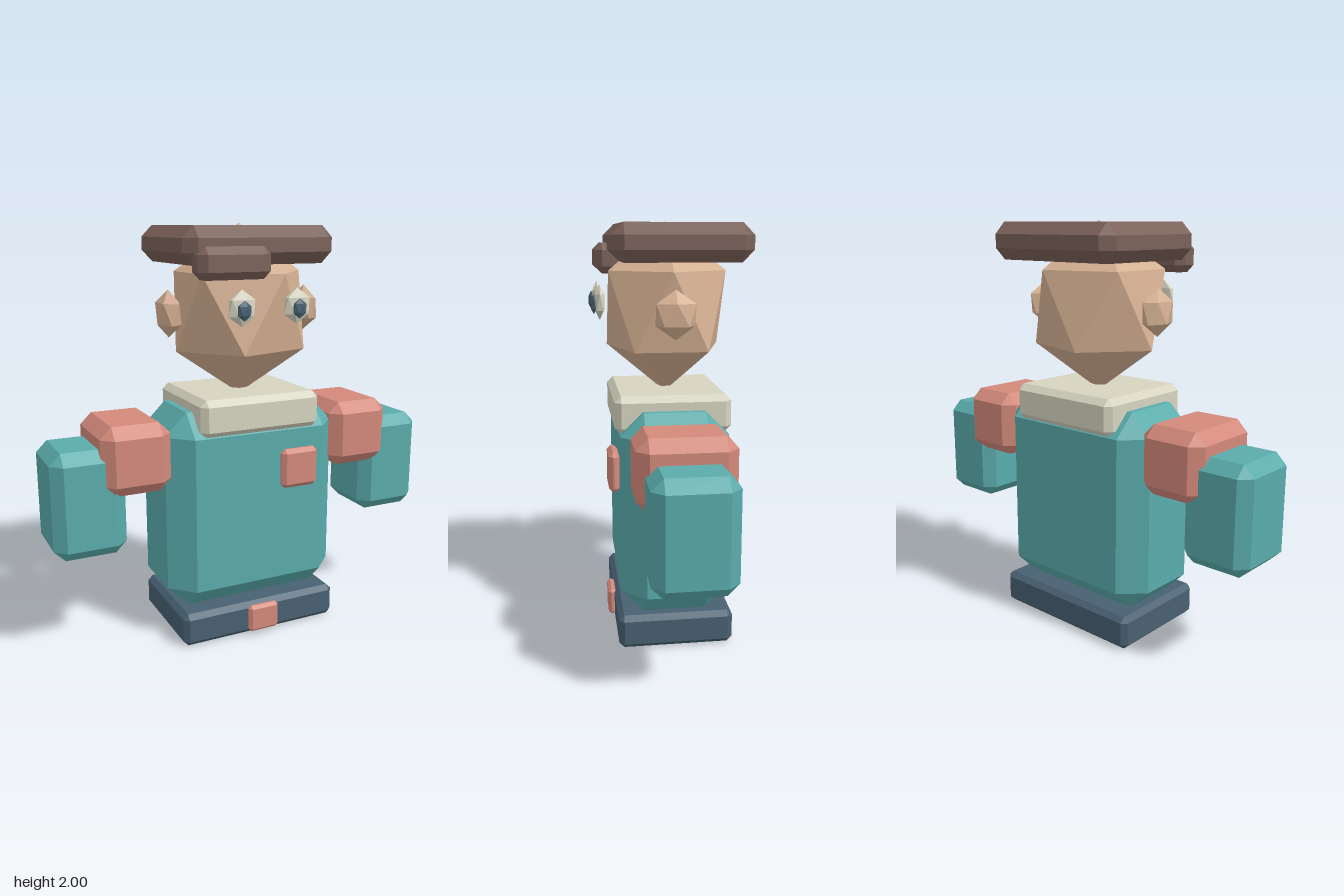
import * as THREE from 'three';
import { ConvexGeometry } from 'three/addons/geometries/ConvexGeometry.js';

function mat(name, color) {
  const m = new THREE.MeshStandardMaterial({ color, flatShading: true });
  m.name = name;
  return m;
}

// Box between two corners, with every edge and corner cut off by c
function chamferBox([x0, y0, z0], [x1, y1, z1], c) {
  const h = new THREE.Vector3(x1 - x0, y1 - y0, z1 - z0).multiplyScalar(0.5);
  const points = [];
  for (const sx of [-1, 1]) for (const sy of [-1, 1]) for (const sz of [-1, 1]) {
    points.push(
      new THREE.Vector3(sx * h.x, sy * (h.y - c), sz * (h.z - c)),
      new THREE.Vector3(sx * (h.x - c), sy * h.y, sz * (h.z - c)),
      new THREE.Vector3(sx * (h.x - c), sy * (h.y - c), sz * h.z));
  }
  return new ConvexGeometry(points).translate((x0 + x1) / 2, (y0 + y1) / 2, (z0 + z1) / 2);
}

// Twenty-sided ball standing on a tip: two tips and two rings of five
function facetBall([x, y, z], [rx, ry, rz]) {
  const points = [new THREE.Vector3(0, ry, 0), new THREE.Vector3(0, -ry, 0)];
  for (let i = 0; i < 5; i++) {
    const a = (i * 2 * Math.PI) / 5;
    const px = Math.cos(a) * 0.8944 * rx, pz = Math.sin(a) * 0.8944 * rz;
    points.push(new THREE.Vector3(px, 0.4472 * ry, pz), new THREE.Vector3(-px, -0.4472 * ry, pz));
  }
  return new ConvexGeometry(points).translate(x, y, z);
}

export function createModel() {
  const model = new THREE.Group();
  model.name = 'figure';
  const teal = mat('teal', 0x5bacac);
  const coral = mat('coral', 0xd48a7b);
  const brown = mat('brown', 0x7b625a);
  const skin = mat('skin', 0xd6b193);
  const cream = mat('cream', 0xd6d4c0);
  const navy = mat('navy', 0x486072);

  const add = (name, geometry, material) => {
    const mesh = new THREE.Mesh(geometry, material);
    mesh.name = name;
    model.add(mesh);
  };

  // Body and clothing
  add('base', chamferBox([-0.415, 0, -0.28], [0.415, 0.165, 0.27], 0.025), navy);
  add('buckle', chamferBox([-0.08, 0.02, 0.26], [0.08, 0.155, 0.3], 0.014), coral);
  add('torso', chamferBox([-0.45, 0.16, -0.26], [0.45, 1.14, 0.25], 0.11), teal);
  add('collar', chamferBox([-0.31, 1.03, -0.28], [0.31, 1.21, 0.27], 0.03), cream);
  add('pocket', chamferBox([0.095, 0.745, 0.25], [0.29, 0.94, 0.3], 0.02), coral);

  // Head and cap
  add('head', facetBall([0, 1.59, 0], [0.37, 0.41, 0.328]), skin);
  add('cap', chamferBox([-0.38, 1.815, -0.365], [0.38, 1.99, 0.278], 0.055), brown);
  add('capPeak', chamferBox([-0.34, 1.755, 0.2], [0.015, 1.9, 0.335], 0.035), brown);

  // Paired parts
  for (const s of [-1, 1]) {
    const side = s > 0 ? 'left' : 'right';
    const pair = (a, b) => (s > 0 ? [a, b] : [-b, -a]);
    const [sx0, sx1] = pair(0.43, 0.765);
    add(side + 'Shoulder', chamferBox([sx0, 0.785, -0.225], [sx1, 1.115, 0.215], 0.055), coral);
    const [ax0, ax1] = pair(0.645, 0.99);
    add(side + 'Arm', chamferBox([ax0, 0.5, -0.19], [ax1, 1.01, 0.178], 0.053), teal);
    add(side + 'Ear', facetBall([s * 0.364, 1.588, -0.004], [0.061, 0.112, 0.106]), skin);
    add(side + 'Eye', facetBall([s * 0.14, 1.632, 0.323], [0.074, 0.083, 0.027]), cream);
    add(side + 'Pupil', facetBall([s * 0.14, 1.622, 0.35], [0.038, 0.046, 0.016]), navy);
  }
  return model;
}
